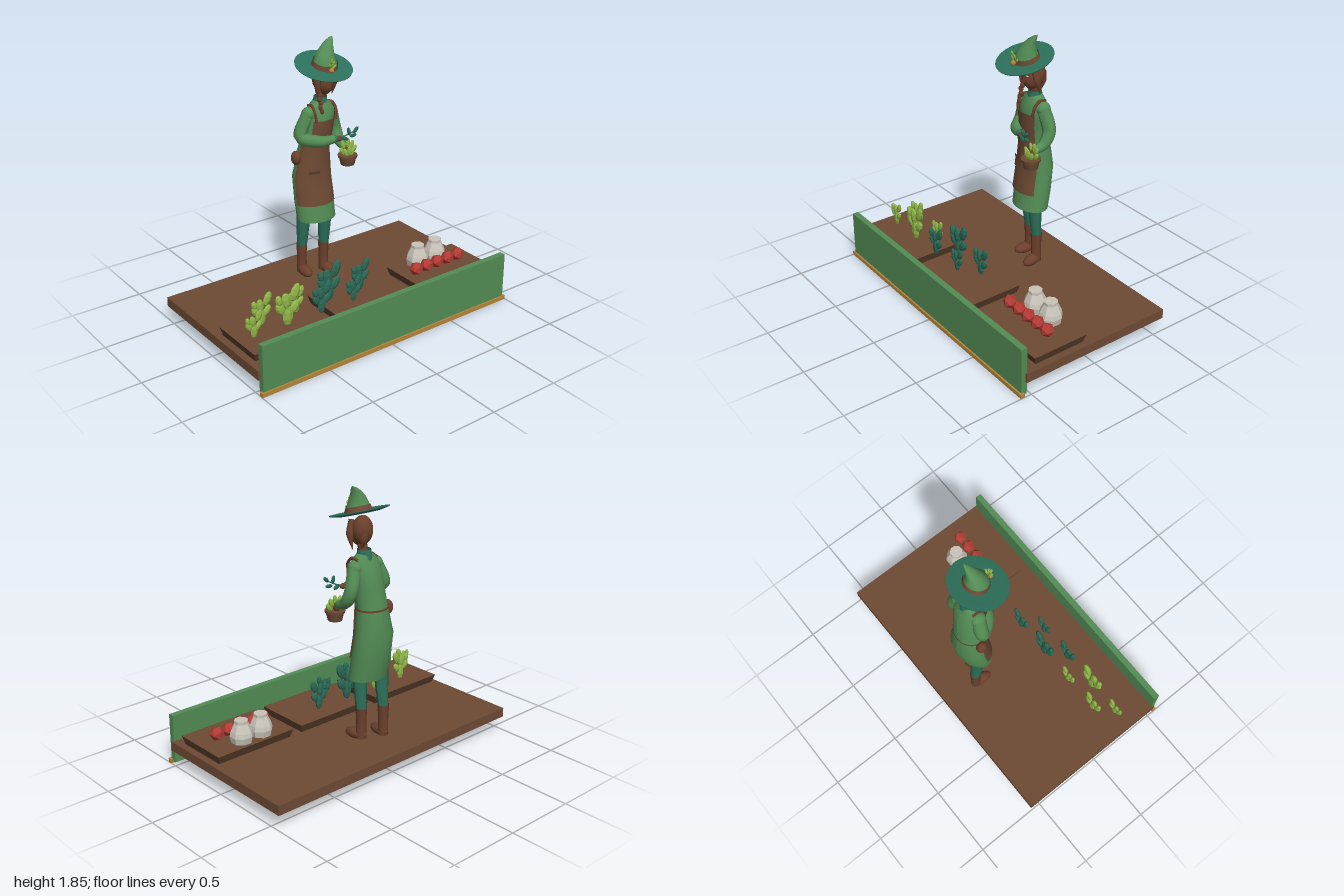
import * as THREE from 'three';

const paint = (name, color, side = THREE.FrontSide, flatShading = false) =>
  new THREE.MeshStandardMaterial({ name, color, side, flatShading });

// Coat cross-sections: [y, centre x, centre z, half width, half depth]
const COAT = [
  [0.60, 0, -0.26, 0.14, 0.105], [0.72, -0.005, -0.28, 0.142, 0.11],
  [0.90, -0.008, -0.305, 0.138, 0.105], [1.10, 0, -0.29, 0.105, 0.09],
  [1.22, 0.015, -0.275, 0.105, 0.092], [1.30, 0.025, -0.262, 0.108, 0.088],
  [1.36, 0.03, -0.257, 0.108, 0.072], [1.40, 0.034, -0.256, 0.085, 0.055],
  [1.43, 0.035, -0.258, 0.045, 0.045],
];

// Coat section at any height, grown outwards by an offset
function coatAt(y, grow = 0) {
  let i = 0;
  while (i < COAT.length - 2 && COAT[i + 1][0] < y) i++;
  const t = (y - COAT[i][0]) / (COAT[i + 1][0] - COAT[i][0]);
  const s = COAT[i].map((v, k) => v + (COAT[i + 1][k] - v) * t);
  return [y, s[1], s[2], s[3] + grow, s[4] + grow];
}

// Surface through stacked ellipses, over an arc measured from the front
function loft(sections, from = -Math.PI, to = Math.PI, n = 24) {
  const pos = [], index = [];
  sections.forEach(([y, cx, cz, rx, rz = rx], j) => {
    for (let i = 0; i <= n; i++) {
      const a = from + (to - from) * i / n;
      pos.push(cx + rx * Math.sin(a), y, cz + rz * Math.cos(a));
      if (j && i) {
        const d = j * (n + 1) + i, c = d - 1, b = d - n - 1, e = b - 1;
        index.push(e, b, d, e, d, c);
      }
    }
  });
  const g = new THREE.BufferGeometry();
  g.setAttribute('position', new THREE.Float32BufferAttribute(pos, 3));
  g.setIndex(index);
  g.computeVertexNormals();
  return g;
}

const coatPatch = (ys, grow, from, to, n) => loft(ys.map(y => coatAt(y, grow)), from, to, n);

// Tube along points whose radius changes along its length
function taper(points, radii, sides = 10, steps = 12) {
  const curve = new THREE.CatmullRomCurve3(points.map(p => new THREE.Vector3(...p)));
  const g = new THREE.TubeGeometry(curve, steps, 1, sides);
  const p = g.attributes.position, v = new THREE.Vector3();
  for (let i = 0; i < p.count; i++) {
    const u = Math.floor(i / (sides + 1)) / steps, c = curve.getPointAt(u);
    const f = u * (radii.length - 1), k = Math.min(Math.floor(f), radii.length - 2);
    const r = radii[k] + (radii[k + 1] - radii[k]) * (f - k);
    v.fromBufferAttribute(p, i).sub(c).multiplyScalar(r).add(c);
    p.setXYZ(i, v.x, v.y, v.z);
  }
  g.computeVertexNormals();
  return g;
}

export function createModel() {
  const D = THREE.DoubleSide;
  const green = paint('coatGreen', 0x538c55, D);
  const teal = paint('teal', 0x2c705a, D);
  const brown = paint('woodBrown', 0x6d4a34, D);
  const dark = paint('darkWood', 0x563b29);
  const skin = paint('skinAndHair', 0x6b402c, D);
  const lime = paint('lime', 0x8fb547, THREE.FrontSide, true);
  const leaf = paint('plantTeal', 0x2a6855, THREE.FrontSide, true);
  const red = paint('red', 0xb43b34, THREE.FrontSide, true);
  const cream = paint('cream', 0xcac5ba, THREE.FrontSide, true);
  const gold = paint('gold', 0xb4843a);

  const model = new THREE.Group();
  const group = (name, parent = model) => {
    const g = new THREE.Group();
    g.name = name;
    parent.add(g);
    return g;
  };
  const add = (name, geo, mat, parent = model, at = [0, 0, 0], scale = [1, 1, 1], rot = [0, 0, 0]) => {
    const m = new THREE.Mesh(geo, mat);
    m.name = name;
    m.position.set(...at);
    m.scale.set(...scale);
    m.rotation.set(...rot);
    parent.add(m);
    return m;
  };
  const ball = new THREE.SphereGeometry(1, 20, 14);
  const box = (w, h, d) => new THREE.BoxGeometry(w, h, d);

  // Stand
  add('platform', box(2, 0.065, 1.11), brown, model, [0, 0.1325, -0.02]);
  add('frontBoard', box(1.97, 0.335, 0.042), green, model, [0, 0.1775, 0.545]);
  add('trim', box(2, 0.028, 0.03), gold, model, [0, 0.014, 0.563]);

  // Trays that narrow towards the bottom
  for (const x of [-0.67, 0, 0.67]) {
    const g = box(0.6, 0.057, 0.405), p = g.attributes.position;
    for (let i = 0; i < p.count; i++)
      if (p.getY(i) < 0) p.setXYZ(i, p.getX(i) * 0.95, p.getY(i), p.getZ(i) * 0.91);
    g.computeVertexNormals();
    add('tray', g, [dark, dark, brown, dark, dark, dark], model, [x, 0.1965, 0.252]);
  }

  // Paddle plants: pads are [x, y, half width, half height, lean]
  const pad = new THREE.SphereGeometry(1, 7, 5);
  const PADS = [
    [0, 0.07, 0.038, 0.075, 0], [-0.055, 0.13, 0.03, 0.052, 0.5], [0.05, 0.115, 0.03, 0.05, -0.6],
    [-0.012, 0.172, 0.034, 0.06, 0.12], [0.056, 0.215, 0.034, 0.062, -0.4], [-0.065, 0.19, 0.024, 0.04, 0.2],
  ];
  function paddlePlant(x, z, s, mat) {
    const plant = group('paddlePlant');
    plant.position.set(x, 0.222, z);
    plant.scale.setScalar(s);
    for (const [px, py, w, h, lean] of PADS)
      add('pad', pad, mat, plant, [px, py, 0], [w, h, 0.02], [0, 0, lean]);
  }
  [[-0.74, 0.18, 0.8], [-0.48, 0.18, 0.66], [-0.86, 0.28, 0.66], [-0.61, 0.28, 1]]
    .forEach(p => paddlePlant(...p, lime));
  [[-0.22, 0.18, 1], [0.035, 0.18, 0.8], [-0.35, 0.28, 0.8], [-0.095, 0.28, 0.66]]
    .forEach(p => paddlePlant(...p, leaf));

  // Jars and red fruit
  const jar = new THREE.LatheGeometry([[0, 0], [0.07, 0], [0.079, 0.045], [0.072, 0.075], [0.046, 0.13],
    [0.046, 0.15], [0, 0.15]].map(p => new THREE.Vector2(...p)), 8);
  for (const x of [0.57, 0.725]) add('jar', jar, cream, model, [x, 0.225, 0.138], [1, 1, 1], [0, Math.PI / 8, 0]);
  for (let i = 0; i < 5; i++)
    add('fruit', new THREE.IcosahedronGeometry(0.048), red, model, [0.46 + i * 0.0935, 0.27, 0.255]);

  // Legs and boots
  const gardener = group('gardener');
  for (const [x, hipZ, z, turn] of [[-0.08, -0.295, -0.325, -0.1], [0.062, -0.245, -0.268, 0.2]]) {
    add('leg', taper([[x, 0.72, hipZ], [x, 0.55, hipZ - 0.01], [x, 0.36, z]], [0.052, 0.044, 0.033]), teal, gardener);
    add('bootShaft', taper([[x, 0.395, z], [x, 0.28, z], [x, 0.18, z]], [0.038, 0.034, 0.036]), skin, gardener);
    add('bootFoot', ball, skin, gardener, [x + turn * 0.04, 0.203, z + 0.04], [0.04, 0.038, 0.08], [0.06, turn, 0]);
  }

  // Coat, collar and waist tie
  add('coat', loft(COAT), green, gardener);
  add('collar', loft([[1.385, 0.035, -0.26, 0.056, 0.056], [1.42, 0.035, -0.258, 0.047, 0.05],
    [1.455, 0.036, -0.255, 0.042, 0.044]]), teal, gardener);
  add('waistTie', coatPatch([1.07, 1.083], 0.004, 0.85, 2 * Math.PI - 1.45), skin, gardener);

  // Apron with bib, straps and pocket
  add('apronSkirt', coatPatch([0.72, 0.8, 0.9, 1.0, 1.1, 1.14], 0.009, -1.45, 0.85), brown, gardener);
  add('apronBib', coatPatch([1.13, 1.22, 1.31], 0.009, -0.82, 0.82), brown, gardener);
  add('pocket', coatPatch([0.88, 0.92, 0.95], 0.018, -0.64, -0.15, 6), brown, gardener);
  add('pocketFlap', coatPatch([0.945, 0.965], 0.021, -0.66, -0.13, 6), dark, gardener);
  for (const s of [-1, 1])
    add('strap', taper([[0.03 + s * 0.073, 1.3, -0.185], [0.032 + s * 0.083, 1.37, -0.195],
      [0.034 + s * 0.08, 1.405, -0.235], [0.034 + s * 0.075, 1.395, -0.285]], [0.01, 0.01], 6), skin, gardener);
  add('hipPouch', ball, skin, gardener, [-0.135, 1.047, -0.295], [0.033, 0.048, 0.038]);

  // Arms, each bent at the elbow, and hands
  const ARMS = [
    [[-0.06, 1.35, -0.255], [-0.115, 1.2, -0.265], [-0.03, 1.18, -0.16], [0.055, 1.19, -0.125]],
    [[0.118, 1.35, -0.26], [0.165, 1.2, -0.275], [0.168, 1.12, -0.225], [0.165, 1.1, -0.165]],
  ];
  for (const a of ARMS) {
    add('shoulder', ball, green, gardener, a[0], [0.044, 0.044, 0.05]);
    add('sleeve', taper(a, [0.046, 0.046, 0.042, 0.027], 12, 18), green, gardener);
    add('cuff', ball, teal, gardener, a[3], [0.026, 0.024, 0.026]);
  }
  add('rightHand', ball, skin, gardener, [0.082, 1.188, -0.115], [0.028, 0.018, 0.02]);
  add('leftHand', ball, skin, gardener, [0.165, 1.075, -0.145], [0.02, 0.03, 0.026]);

  // Sprig in the right hand
  add('sprigStem', taper([[0.06, 1.18, -0.12], [0.13, 1.205, -0.1], [0.175, 1.23, -0.075]], [0.006, 0.004], 5), leaf, gardener);
  for (const [x, y, z, lean] of [[0.12, 1.185, -0.095, -2], [0.14, 1.235, -0.085, 0.2], [0.175, 1.2, -0.085, -1.5], [0.185, 1.24, -0.07, -0.8]])
    add('sprigLeaf', pad, leaf, gardener, [x, y, z], [0.013, 0.028, 0.012], [0, 0, lean]);

  // Flower pot in the left hand
  const pot = group('flowerPot', gardener);
  pot.position.set(0.165, 0.985, -0.13);
  add('potBody', new THREE.CylinderGeometry(0.06, 0.046, 0.06, 14), brown, pot, [0, 0.03, 0]);
  add('potRim', new THREE.CylinderGeometry(0.066, 0.064, 0.018, 14), brown, pot, [0, 0.06, 0]);
  for (const [x, y, z, lean] of [[-0.045, 0.1, 0, 0.6], [-0.022, 0.13, -0.018, 0.25], [0.012, 0.14, -0.015, -0.1],
    [0.04, 0.125, -0.01, -0.4], [0.05, 0.095, 0, -0.7], [0, 0.1, 0.02, 0.1], [0.025, 0.09, 0.018, -0.4], [-0.025, 0.088, 0.015, 0.4]])
    add('potLeaf', pad, lime, pot, [x, y, z], [0.017, 0.034, 0.012], [0, 0, lean]);

  // Head, face and hair
  add('neck', taper([[0.036, 1.42, -0.255], [0.04, 1.47, -0.245], [0.043, 1.52, -0.235]], [0.031, 0.03]), skin, gardener);
  add('head', ball, skin, gardener, [0.045, 1.555, -0.222], [0.056, 0.083, 0.066]);
  add('nose', new THREE.ConeGeometry(0.011, 0.035, 6), skin, gardener, [0.047, 1.553, -0.156], [1, 1, 1], [0.35, 0, 0]);
  for (const s of [-1, 1])
    add('eye', ball, cream, gardener, [0.046 + s * 0.024, 1.577, -0.166], [0.009, 0.005, 0.004], [0, s * 0.4, 0]);
  add('hairBack', ball, skin, gardener, [0.045, 1.575, -0.25], [0.066, 0.092, 0.064]);
  add('leftLock', taper([[0.09, 1.64, -0.2], [0.113, 1.56, -0.21], [0.114, 1.46, -0.235]], [0.018, 0.024, 0.002], 8), skin, gardener);
  add('backLock', taper([[0.06, 1.58, -0.285], [0.07, 1.52, -0.285], [0.075, 1.465, -0.275]], [0.034, 0.028, 0.003], 8), skin, gardener);
  add('rightLock', taper([[-0.005, 1.64, -0.2], [-0.025, 1.57, -0.2], [-0.022, 1.5, -0.2]], [0.02, 0.024, 0.016], 8), skin, gardener);
  for (let i = 0; i < 6; i++)
    add('braid', ball, skin, gardener, [-0.02 + (i % 2) * 0.008, 1.51 - i * 0.026, -0.2 + i * 0.006],
      [0.019 - i * 0.0012, 0.02, 0.018 - i * 0.001]);

  // Tilted hat with a bent tip
  const hat = group('hat', gardener);
  hat.position.set(0.015, 1.668, -0.19);
  hat.rotation.x = 0.29;
  add('brim', new THREE.LatheGeometry([[0, -0.004], [0.14, -0.006], [0.188, 0.004], [0.19, 0.011], [0.14, 0.007], [0, 0.01]]
    .map(p => new THREE.Vector2(...p)), 32), teal, hat);
  add('crown', loft([[0, 0.012, -0.005, 0.083], [0.045, 0.013, -0.008, 0.073], [0.09, 0.022, -0.03, 0.054],
    [0.13, 0.045, -0.052, 0.034], [0.155, 0.07, -0.068, 0.017], [0.168, 0.088, -0.078, 0.001]]), green, hat);
  add('hatBand', loft([[0.008, 0.012, -0.005, 0.087], [0.04, 0.013, -0.008, 0.08]]), brown, hat);
  add('hatBead', ball, gold, hat, [-0.002, 0.024, 0.088], [0.017, 0.017, 0.017]);
  for (const [x, y, lean] of [[-0.012, 0.055, 0.4], [0.012, 0.065, -0.2], [0.024, 0.04, -0.8], [-0.004, 0.085, 0.1]])
    add('hatLeaf', pad, lime, hat, [x, y, 0.076], [0.01, 0.022, 0.008], [0, 0, lean]);

  return model;
}
